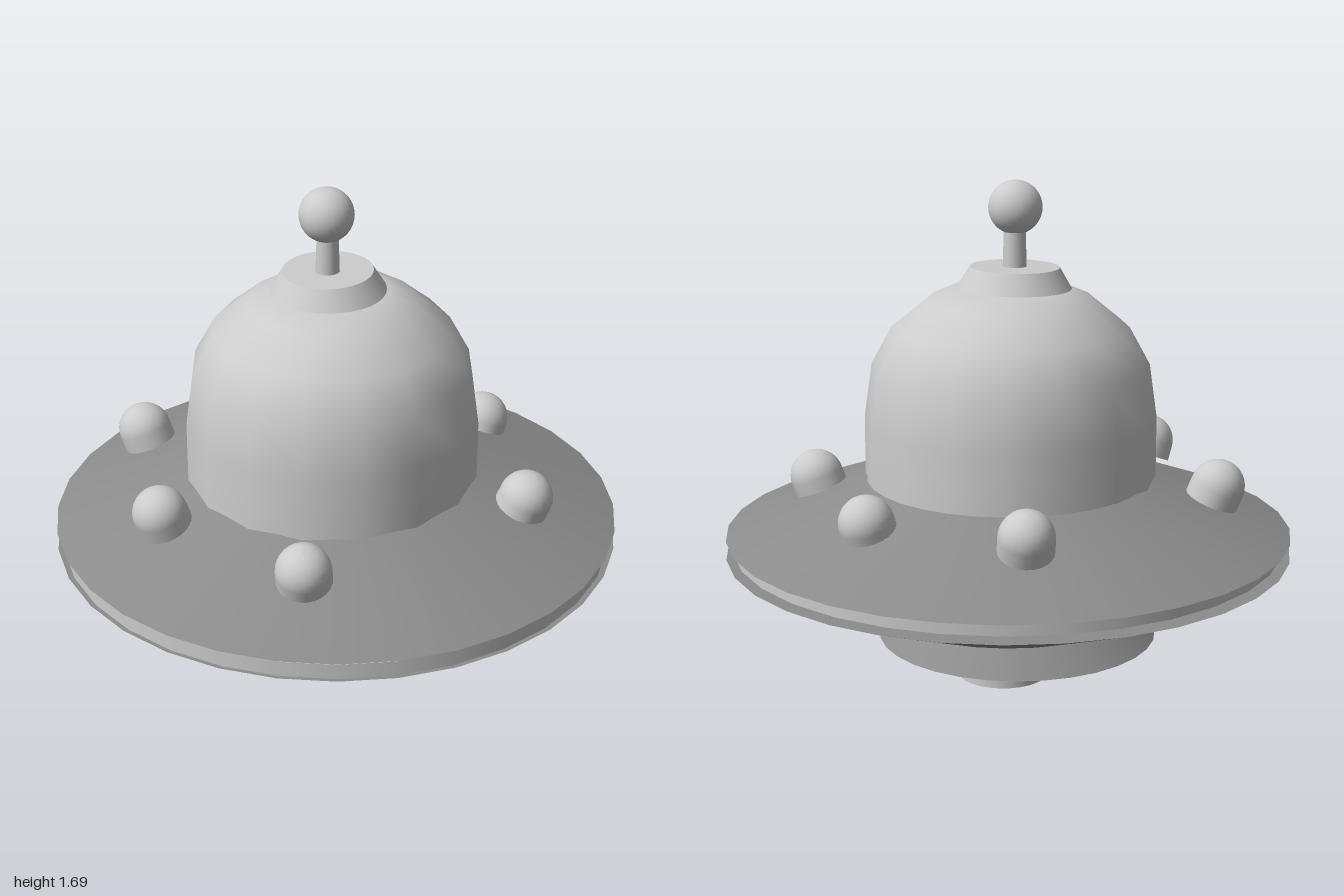
import * as THREE from 'three';

const light = new THREE.MeshStandardMaterial({ color: 0xcccccc });
light.name = 'lightGrey';
const mid = new THREE.MeshStandardMaterial({ color: 0x8c8c8c });
mid.name = 'midGrey';

export function createModel() {
  const group = new THREE.Group();

  const add = (name, geometry, material, x, y, z) => {
    const mesh = new THREE.Mesh(geometry, material);
    mesh.name = name;
    mesh.position.set(x, y, z);
    group.add(mesh);
    return mesh;
  };
  // Upright cylinder or cone frustum spanning y0 to y1
  const drum = (name, material, rTop, rBottom, y0, y1, x, z, sides = 32) =>
    add(name, new THREE.CylinderGeometry(rTop, rBottom, y1 - y0, sides), material, x, (y0 + y1) / 2, z);
  const lathe = (points, sides) =>
    new THREE.LatheGeometry(points.map(([r, y]) => new THREE.Vector2(r, y)), sides);

  // Saucer: open upper cone, rim band, closed lower cone
  const upper = lathe([[0.99, 0.465], [0.495, 0.655]], 32);
  const upperMaterial = mid.clone();
  upperMaterial.side = THREE.DoubleSide;
  add('upperSaucer', upper, upperMaterial, 0, 0, 0);
  drum('rimBand', light, 0.965, 0.965, 0.41, 0.464, -0.015, 0.02);
  drum('lowerSaucer', mid, 0.99, 0.5, 0.2, 0.4, 0, 0);
  drum('coreStrut', mid, 0.05, 0.05, 0.38, 0.43, -0.03, -0.1, 16);

  // Cabin dome
  const dome = lathe([
    [0.51, 0.47], [0.51, 0.86], [0.483, 1.05], [0.412, 1.18],
    [0.29, 1.28], [0.2, 1.32], [0, 1.34],
  ], 16);
  add('cabinDome', dome, light, -0.025, 0, 0.015);

  // Antenna on a slightly tilted collar
  drum('antennaCollar', light, 0.155, 0.198, 1.32, 1.392, -0.035, 0.005).rotation.z = 0.025;
  drum('antennaStem', light, 0.037, 0.042, 1.37, 1.53, -0.04, 0.01, 16);
  add('antennaBall', new THREE.SphereGeometry(0.093, 32, 20), light, -0.045, 1.595, 0.012);

  // Underside skirt and three thrusters
  drum('baseSkirt', mid, 0.37, 0.49, 0.083, 0.195, -0.015, -0.03);
  for (const [x, z] of [[-0.02, 0.195], [-0.24, -0.135], [0.155, -0.135]]) {
    drum('thruster', light, 0.155, 0.155, 0, 0.085, x, z);
  }

  // Domed lamps leaning outward around the saucer
  const r = 0.094;
  const lampProfile = [[0, -0.055], [r, -0.055], [r, -0.055], [r, 0]];
  for (let i = 1; i <= 8; i++) {
    const a = (i / 8) * Math.PI / 2;
    lampProfile.push([i === 8 ? 0 : r * Math.cos(a), r * Math.sin(a)]);
  }
  const lampShell = lathe(lampProfile.slice(2), 24);
  const lampBase = new THREE.CircleGeometry(r, 24).rotateX(Math.PI / 2).translate(0, -0.055, 0);
  const lamps = [
    [-0.7, 0.655, -0.022], [0.655, 0.625, -0.005], [-0.475, 0.625, 0.515],
    [0.42, 0.625, 0.545], [-0.44, 0.65, -0.585], [0.44, 0.65, -0.54],
  ];
  const up = new THREE.Vector3(0, 1, 0);
  for (const [x, y, z] of lamps) {
    const lamp = new THREE.Group();
    lamp.name = 'lamp';
    const shell = new THREE.Mesh(lampShell, light);
    shell.name = 'lampShell';
    const base = new THREE.Mesh(lampBase, light);
    base.name = 'lampBase';
    lamp.add(shell, base);
    lamp.position.set(x, y, z);
    const out = new THREE.Vector3(x, 0, z).normalize().multiplyScalar(Math.tan(0.37));
    lamp.quaternion.setFromUnitVectors(up, out.add(up).normalize());
    group.add(lamp);
  }

  return group;
}
